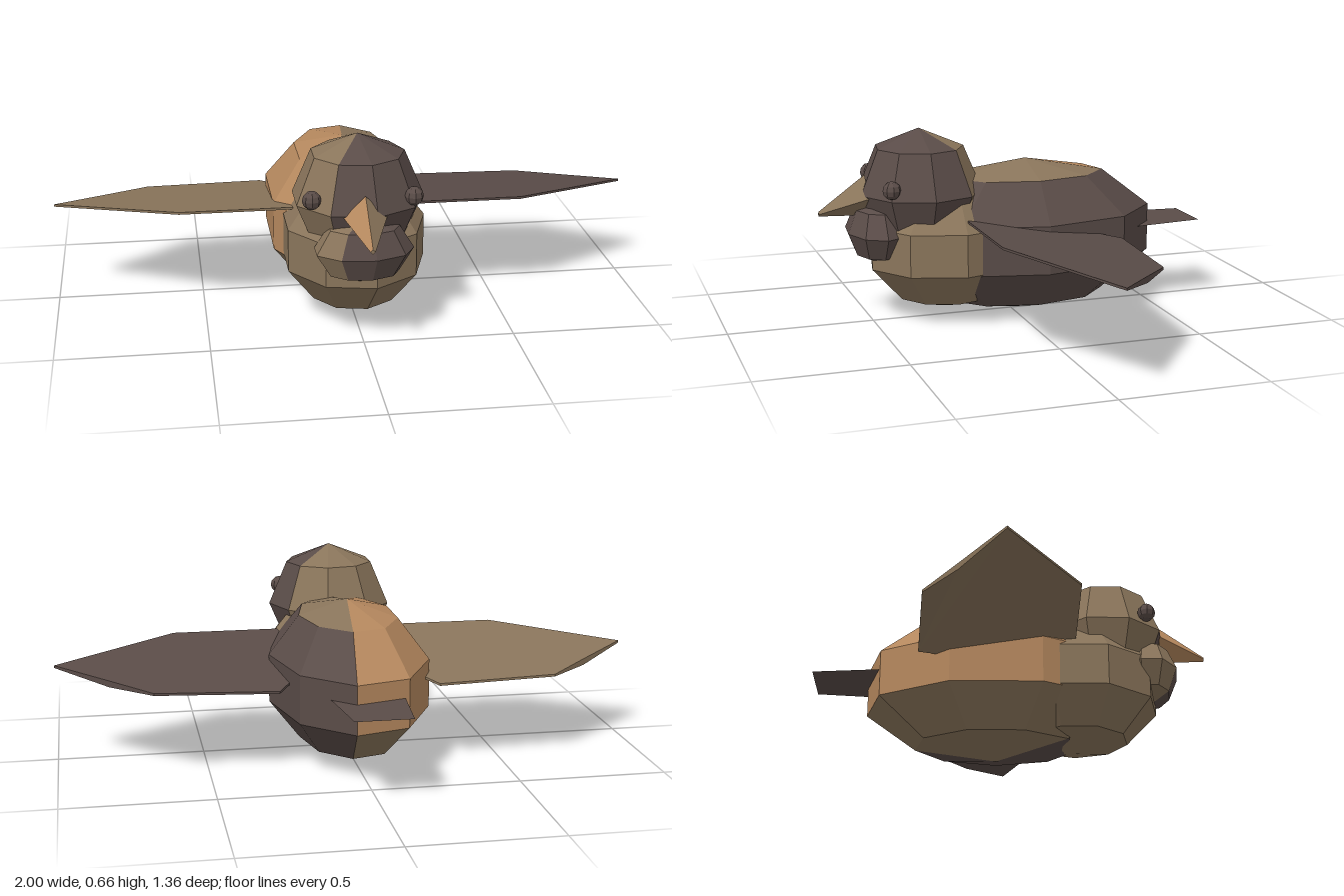
import * as THREE from 'three';

const mat = (name, color, extra = {}) => {
  const m = new THREE.MeshStandardMaterial({ color, flatShading: true, ...extra });
  m.name = name;
  return m;
};

export function createModel() {
  const bird = new THREE.Group();
  bird.name = 'bird';
  const tan = mat('tanFeathers', 0x8a755b);
  const dusk = mat('darkFeathers', 0x5a4c48, { side: THREE.DoubleSide });
  const rust = mat('rustFeathers', 0xb5885e);
  const palette = [tan, dusk, rust];
  const TAN = 0, DUSK = 1, RUST = 2;

  const add = (name, geometry, material) => {
    const mesh = new THREE.Mesh(geometry, material);
    mesh.name = name;
    bird.add(mesh);
    return mesh;
  };

  // Faceted ellipsoid; paint(segment, row) picks a colour per face.
  // Segments run from the left side (+x) round the back.
  const ball = (name, radii, centre, w, h, paint) => {
    const g = new THREE.SphereGeometry(1, w, h, Math.PI);
    g.clearGroups();
    let start = 0;
    for (let row = 0; row < h; row++) {
      for (let i = 0; i < w; i++) {
        const count = row === 0 || row === h - 1 ? 3 : 6;
        g.addGroup(start, count, paint(i, row));
        start += count;
      }
    }
    g.scale(...radii);
    g.translate(...centre);
    return add(name, g, palette);
  };

  // Body: rust on the back and right flank, dark on the left flank
  ball('body', [0.287, 0.269, 0.48], [0, 0.27, -0.05], 9, 5, (i, row) => {
    const rightFlank = i >= 2 && i <= 5;
    if (rightFlank) return row < 3 ? RUST : TAN;
    return row === 0 ? TAN : DUSK;
  });
  ball('chest', [0.255, 0.235, 0.298], [0, 0.265, 0.23], 9, 5, () => TAN);

  // Head and cheeks: tan on the right half, dark on the left
  const halfTone = (i) => (i >= 1 && i <= 5 ? TAN : DUSK);
  ball('head', [0.22, 0.215, 0.215], [0, 0.45, 0.33], 9, 4, halfTone);
  ball('cheeks', [0.165, 0.11, 0.107], [0, 0.32, 0.48], 9, 4, halfTone);

  // Beak: four-sided cone whose tip is pulled down
  const beak = new THREE.CylinderGeometry(0.008, 0.07, 0.16, 4);
  beak.rotateX(Math.PI / 2);
  beak.translate(0, 0.445, 0.6);
  const bp = beak.attributes.position;
  for (let i = 0; i < bp.count; i++) {
    bp.setY(i, bp.getY(i) - 0.055 * (bp.getZ(i) - 0.52) / 0.16);
  }
  beak.clearGroups();
  beak.addGroup(0, 12, TAN);
  beak.addGroup(12, 12, RUST);
  beak.addGroup(24, beak.index.count - 24, TAN);
  add('beak', beak, palette);

  // Wings: thin plates, front edge raised, one trailing corner drooping
  const outline = [[0.2, 0.22], [0.58, 0.22], [1, -0.02], [0.82, -0.165], [0.68, -0.28], [0.27, -0.31], [0.2, -0.2]];
  for (const side of [-1, 1]) {
    const shape = new THREE.Shape(outline.map(([x, z]) => new THREE.Vector2(side * x, z)));
    const g = new THREE.ExtrudeGeometry(shape, { depth: 0.008, bevelEnabled: false });
    g.rotateX(Math.PI / 2);
    const p = g.attributes.position;
    for (let i = 0; i < p.count; i++) {
      const droop = Math.abs(Math.abs(p.getX(i)) - 0.82) < 0.01 && p.getY(i) < -0.004 ? 0.014 : 0;
      p.setY(i, p.getY(i) + 0.34 + 0.16 * (p.getZ(i) + 0.02) - droop);
    }
    add(side > 0 ? 'leftWing' : 'rightWing', g, side > 0 ? dusk : tan);

    // Eyes
    ball(side > 0 ? 'leftEye' : 'rightEye', [0.031, 0.031, 0.031], [side * 0.165, 0.49, 0.467], 8, 6, () => DUSK);
  }

  // Tail: flat sheet
  const tailShape = new THREE.Shape([[-0.13, -0.35], [-0.1, -0.68], [0.09, -0.68], [0.13, -0.35]]
    .map(([x, z]) => new THREE.Vector2(x, -z)));
  const tail = new THREE.ShapeGeometry(tailShape);
  tail.rotateX(-Math.PI / 2);
  tail.translate(0, 0.29, 0);
  add('tail', tail, dusk);

  return bird;
}
